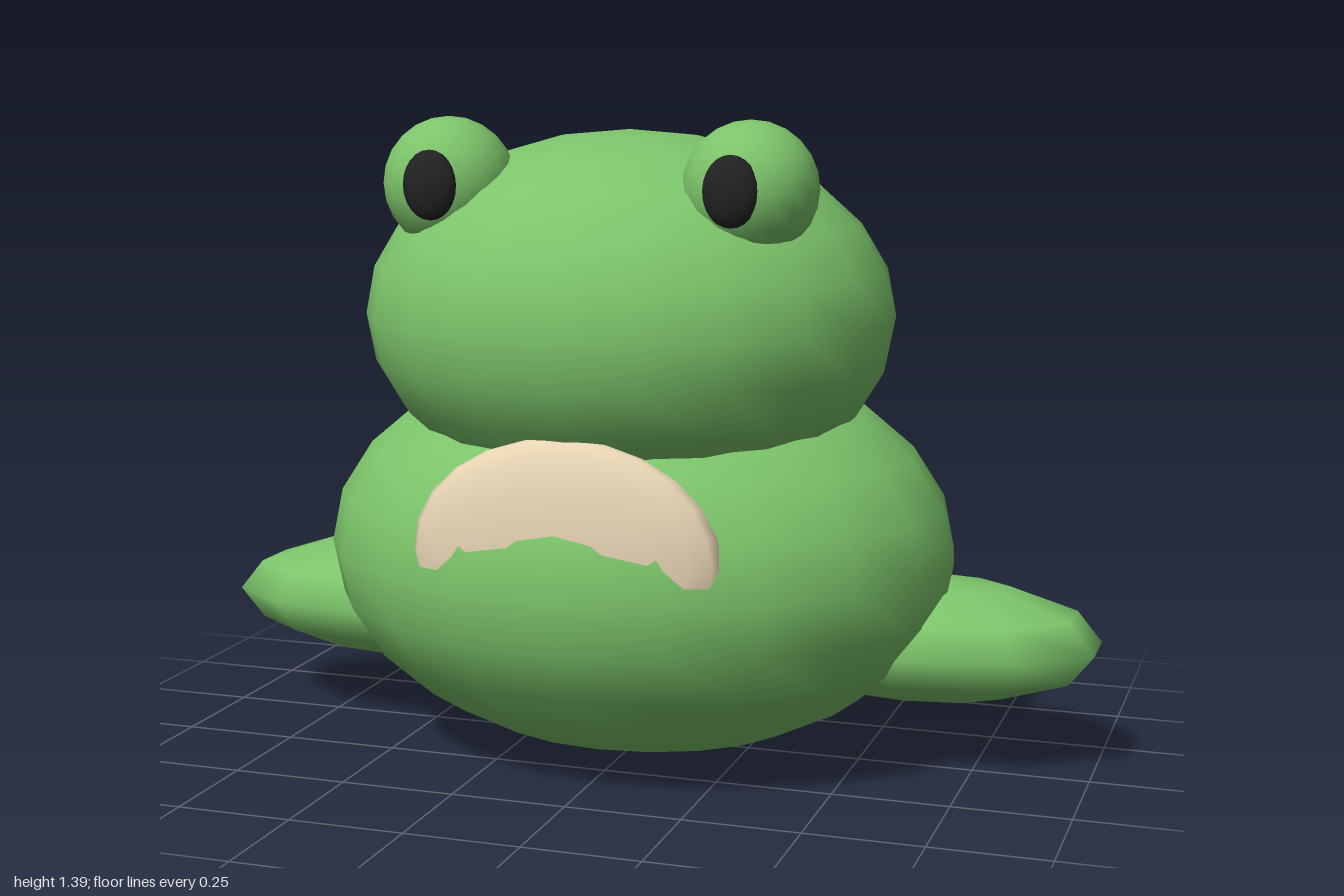
import * as THREE from 'three';

const material = (color) => new THREE.MeshStandardMaterial({ color });

// Smooth ellipsoid with the given centre, radii and number of sides
function ellipsoid(name, mat, center, radii, sides = 20, rings = 12, turn = 0) {
  const geometry = new THREE.SphereGeometry(1, sides, rings);
  geometry.rotateY(turn);
  geometry.scale(...radii);
  const mesh = new THREE.Mesh(geometry, mat);
  mesh.name = name;
  mesh.position.set(...center);
  return mesh;
}

export function createModel() {
  const group = new THREE.Group();
  group.name = 'frog';
  const green = material(0x7cc46a);
  const cream = material(0xe6d3b3);
  const black = material(0x222222);

  // Body and head
  group.add(ellipsoid('body', green, [0, 0.45, 0], [0.7, 0.448, 0.586]));
  group.add(ellipsoid('head', green, [0, 0.97, 0.077], [0.577, 0.395, 0.503]));

  // Throat patch, mostly sunk into the body
  group.add(ellipsoid('throatPatch', cream, [0, 0.52, 0.489], [0.332, 0.247, 0.071]));

  // Mirrored eyes and feet
  for (const [side, s] of [['left', 1], ['right', -1]]) {
    group.add(ellipsoid(side + 'Eye', green, [s * 0.326, 1.257, 0.286], [0.139, 0.139, 0.139]));
    group.add(ellipsoid(side + 'Pupil', black, [s * 0.319, 1.26, 0.408], [0.058, 0.072, 0.032]));
    group.add(ellipsoid(side + 'Foot', green, [s * 0.607, 0.271, -0.074],
      [0.413, 0.135, 0.223], 10, 6, Math.PI / 2));
  }
  return group;
}
